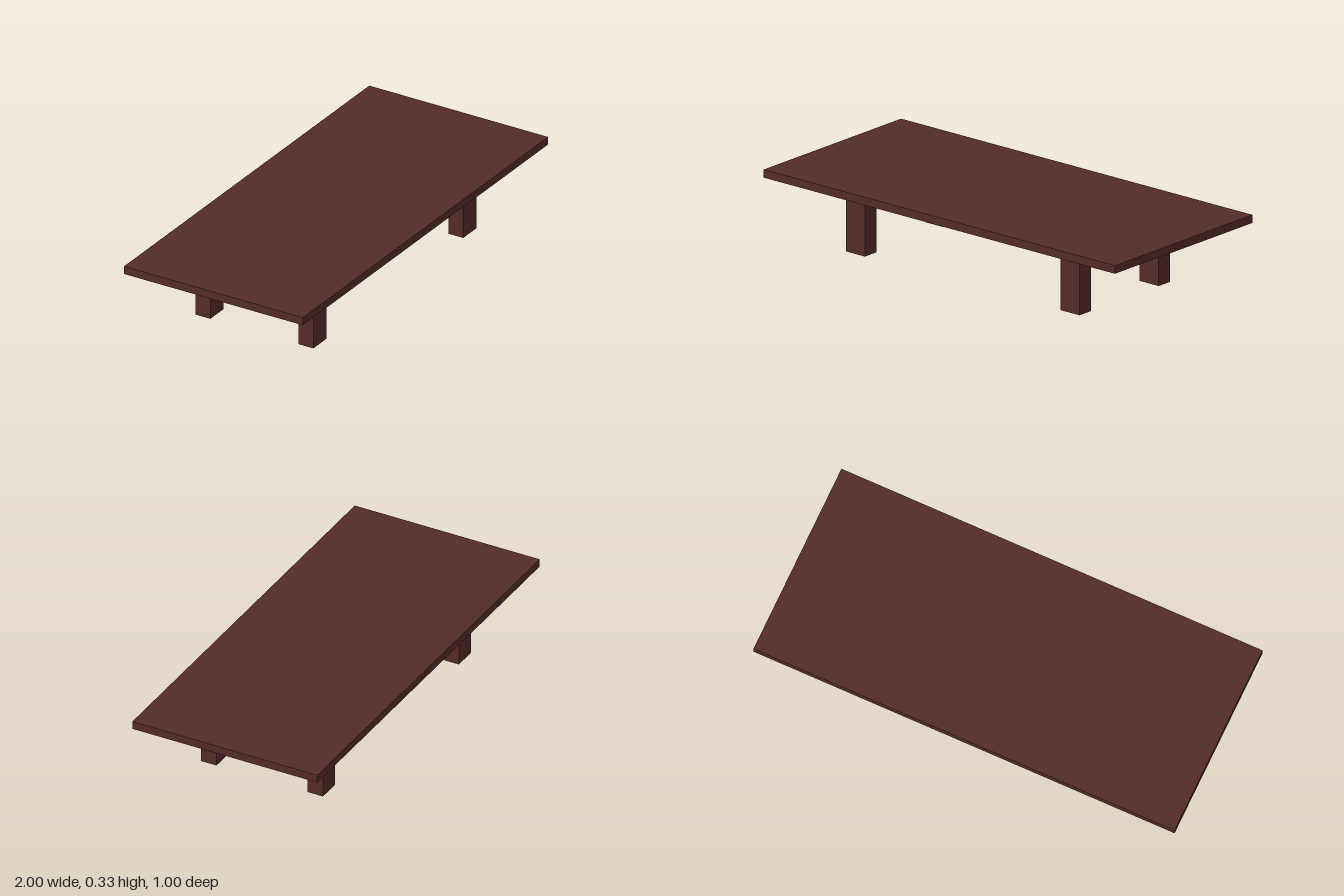
import * as THREE from 'three';

export function createModel() {
  const model = new THREE.Group();
  model.name = 'lowTable';
  const wood = new THREE.MeshStandardMaterial({ color: 0x542c28 });

  const addBox = (name, [w, h, d], [x, y, z]) => {
    const mesh = new THREE.Mesh(new THREE.BoxGeometry(w, h, d), wood);
    mesh.name = name;
    mesh.position.set(x, y, z);
    table.add(mesh);
  };

  // The whole table is turned slightly about the vertical axis
  const table = new THREE.Group();
  table.name = 'table';
  table.rotation.y = 0.0555;
  model.add(table);

  // Thin slab top
  const legHeight = 0.295, topThickness = 0.036;
  addBox('tableTop', [1.954, topThickness, 0.889], [0, legHeight + topThickness / 2, 0]);

  // Four rectangular legs, set in from the corners
  for (const [side, sx] of [['Left', 1], ['Right', -1]]) {
    for (const [end, sz] of [['front', 1], ['back', -1]]) {
      addBox(`${end}${side}Leg`, [0.106, legHeight, 0.074], [sx * 0.597, legHeight / 2, sz * 0.256]);
    }
  }
  return model;
}
